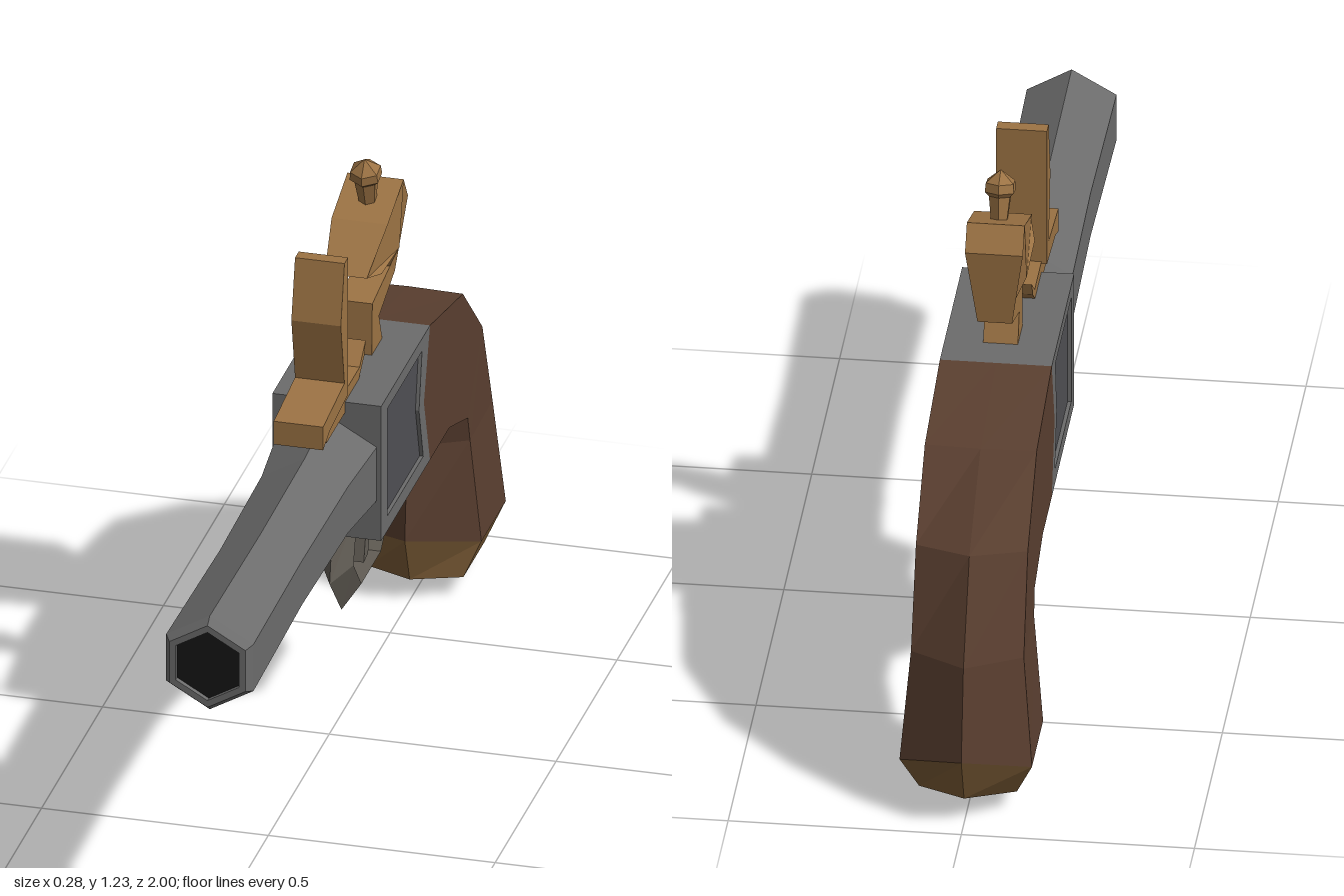
import * as THREE from 'three';

const mat = (color) => new THREE.MeshStandardMaterial({ color, flatShading: true, side: THREE.DoubleSide });
const steel = mat(0x6c6c6c), panelGrey = mat(0x505054), guardGrey = mat(0x625d55);
const wood = mat(0x5a3f30), brass = mat(0x9c7344), buttBrass = mat(0x7c5c36), black = mat(0x151515);

// Side outlines are lists of [z, y]
const outline = (pts) => pts.map(([z, y]) => new THREE.Vector2(z, y));

// Flat plate cut from a side outline, spanning x0..x1; taper(z, y) scales its width
function plate(name, pts, x0, x1, material, { hole, taper } = {}) {
  const shape = new THREE.Shape(outline(pts));
  if (hole) shape.holes.push(new THREE.Path(outline(hole)));
  const geo = new THREE.ExtrudeGeometry(shape, { depth: x1 - x0, bevelEnabled: false });
  geo.translate(0, 0, -x1).rotateY(-Math.PI / 2);
  if (taper) {
    const p = geo.attributes.position;
    for (let i = 0; i < p.count; i++) p.setX(i, p.getX(i) * taper(p.getZ(i), p.getY(i)));
    geo.computeVertexNormals();
  }
  const mesh = new THREE.Mesh(geo, material);
  mesh.name = name;
  return mesh;
}

// Skin over successive closed rings of [x, y, z]
function loft(name, rings, material) {
  const n = rings[0].length, index = [];
  for (let s = 0; s < rings.length - 1; s++) {
    for (let i = 0; i < n; i++) {
      const a = s * n + i, b = s * n + (i + 1) % n;
      index.push(a, a + n, b, a + n, b + n, b);
    }
  }
  const geo = new THREE.BufferGeometry();
  geo.setAttribute('position', new THREE.Float32BufferAttribute(rings.flat(2), 3));
  geo.setIndex(index);
  geo.computeVertexNormals();
  const mesh = new THREE.Mesh(geo, material);
  mesh.name = name;
  return mesh;
}

// Six-sided turned part
function turned(name, pts, material) {
  const mesh = new THREE.Mesh(new THREE.LatheGeometry(outline(pts), 6), material);
  mesh.name = name;
  return mesh;
}

export function createModel() {
  const group = new THREE.Group();

  // Hexagonal barrel, slightly waisted, with chamfered muzzle and dark bore
  const barrel = new THREE.Group();
  barrel.name = 'barrel';
  barrel.add(
    turned('barrelTube', [[0.127, 0], [0.127, 0.02], [0.11, 0.2], [0.105, 0.56], [0.111, 0.98], [0.097, 1], [0.081, 1], [0.081, 0.985]], steel),
    turned('bore', [[0.081, 0.988], [0, 0.988]], black),
  );
  barrel.rotation.x = Math.PI / 2;
  barrel.position.y = 0.648;
  group.add(barrel);

  // Lock housing with framed side panels and a notched rear edge
  const housing = [[0.02, 0.49], [0.02, 0.81], [-0.38, 0.81], [-0.33, 0.65], [-0.38, 0.49]];
  const panel = [[-0.03, 0.525], [-0.03, 0.78], [-0.315, 0.78], [-0.29, 0.65], [-0.325, 0.525]];
  group.add(plate('housingCore', housing, -0.108, 0.108, steel));
  for (const s of [-1, 1]) {
    const [a, b] = s > 0 ? [0.108, 0.12] : [-0.12, -0.108];
    group.add(plate('housingFrame', housing, a, b, steel, { hole: panel }));
    group.add(plate('sidePanel', panel, s * 0.11 - 0.002, s * 0.11 + 0.002, panelGrey));
  }

  // Grip: front ridge, front corner, back corner, back ridge as [z, y], then half width
  const ring = ([F, f, b, B, w]) => [
    [0, F[1], F[0]], [w, f[1], f[0]], [w, b[1], b[0]],
    [0, B[1], B[0]], [-w, b[1], b[0]], [-w, f[1], f[0]],
  ];
  const tip = [-0.8, 0.005];
  const sections = [
    [[-0.38, 0.49], [-0.38, 0.49], [-0.38, 0.81], [-0.38, 0.81], 0.12],
    [[-0.54, 0.49], [-0.54, 0.49], [-0.65, 0.755], [-0.655, 0.755], 0.12],
    [[-0.64, 0.43], [-0.69, 0.44], [-0.81, 0.6], [-0.855, 0.605], 0.12],
    [[-0.64, 0.38], [-0.705, 0.38], [-0.89, 0.385], [-0.962, 0.39], 0.121],
    [[-0.62, 0.165], [-0.72, 0.135], [-0.92, 0.135], [-1, 0.18], 0.142],
    [[-0.66, 0.055], [-0.71, 0.05], [-0.88, 0.05], [-0.95, 0.065], 0.105],
    [tip, tip, tip, tip, 0],
  ].map(ring);
  group.add(loft('grip', sections.slice(0, 5), wood));
  group.add(loft('buttCap', sections.slice(4), buttBrass));
  group.add(plate('gripWedge', [[-0.38, 0.81], [-0.38, 0.49], [-0.33, 0.65]], -0.12, 0.12, wood));

  // Trigger guard: triangular band, each step an outer ridge and an inner edge
  const guard = [
    [[-0.03, 0.5], [-0.1, 0.5]], [[-0.003, 0.36], [-0.065, 0.38]],
    [[-0.1, 0.253], [-0.13, 0.305]], [[-0.31, 0.253], [-0.29, 0.305]],
    [[-0.5, 0.43], [-0.42, 0.42]], [[-0.54, 0.47], [-0.51, 0.495]],
    [[-0.65, 0.405], [-0.65, 0.44]],
  ].map(([o, i]) => [[0, o[1], o[0]], [0.036, i[1], i[0]], [-0.036, i[1], i[0]]]);
  group.add(loft('triggerGuard', guard, guardGrey));
  group.add(plate('guardStrut', [[-0.35, 0.5], [-0.405, 0.5], [-0.415, 0.4], [-0.38, 0.4]], -0.03, 0.03, guardGrey,
    { taper: (z, y) => (y > 0.45 ? 2.2 : 1) }));
  group.add(plate('trigger', [[-0.2, 0.5], [-0.255, 0.5], [-0.255, 0.42], [-0.225, 0.33], [-0.19, 0.325], [-0.215, 0.42]],
    -0.025, 0.025, guardGrey));

  // Striking plate with foot, and the pan behind it
  group.add(plate('strikingPlate', [
    [0.225, 0.85], [0.05, 0.87], [0.08, 1.02], [0.05, 1.155], [0.02, 1.155],
    [0.02, 0.83], [0.17, 0.815], [0.225, 0.795],
  ], -0.062, 0.047, brass));
  group.add(plate('pan', [
    [0.17, 0.82], [0.02, 0.835], [-0.1, 0.835], [-0.15, 0.875], [-0.14, 0.845],
    [-0.095, 0.81], [0, 0.81], [0, 0.785], [0.17, 0.785],
  ], -0.05, 0.04, brass));

  // Hammer: narrow neck widening into the jaw
  group.add(plate('hammer', [
    [-0.21, 0.8], [-0.3, 0.8], [-0.27, 0.875], [-0.4, 0.92], [-0.415, 1.095], [-0.38, 1.15],
    [-0.25, 1.105], [-0.135, 1.03], [-0.2, 1.012], [-0.345, 1.005], [-0.36, 0.95], [-0.215, 0.93],
  ], -0.062, 0.062, brass, { taper: (z, y) => (y < 1 ? 0.6 : z > -0.15 ? 0.75 : 1) }));

  // Jaw screw
  const screw = turned('jawScrew', [[0.018, 0], [0.026, 0.07], [0.036, 0.08], [0.034, 0.1], [0, 0.127]], brass);
  screw.position.set(0, 1.11, -0.32);
  screw.rotation.x = 0.24;
  group.add(screw);

  return group;
}
